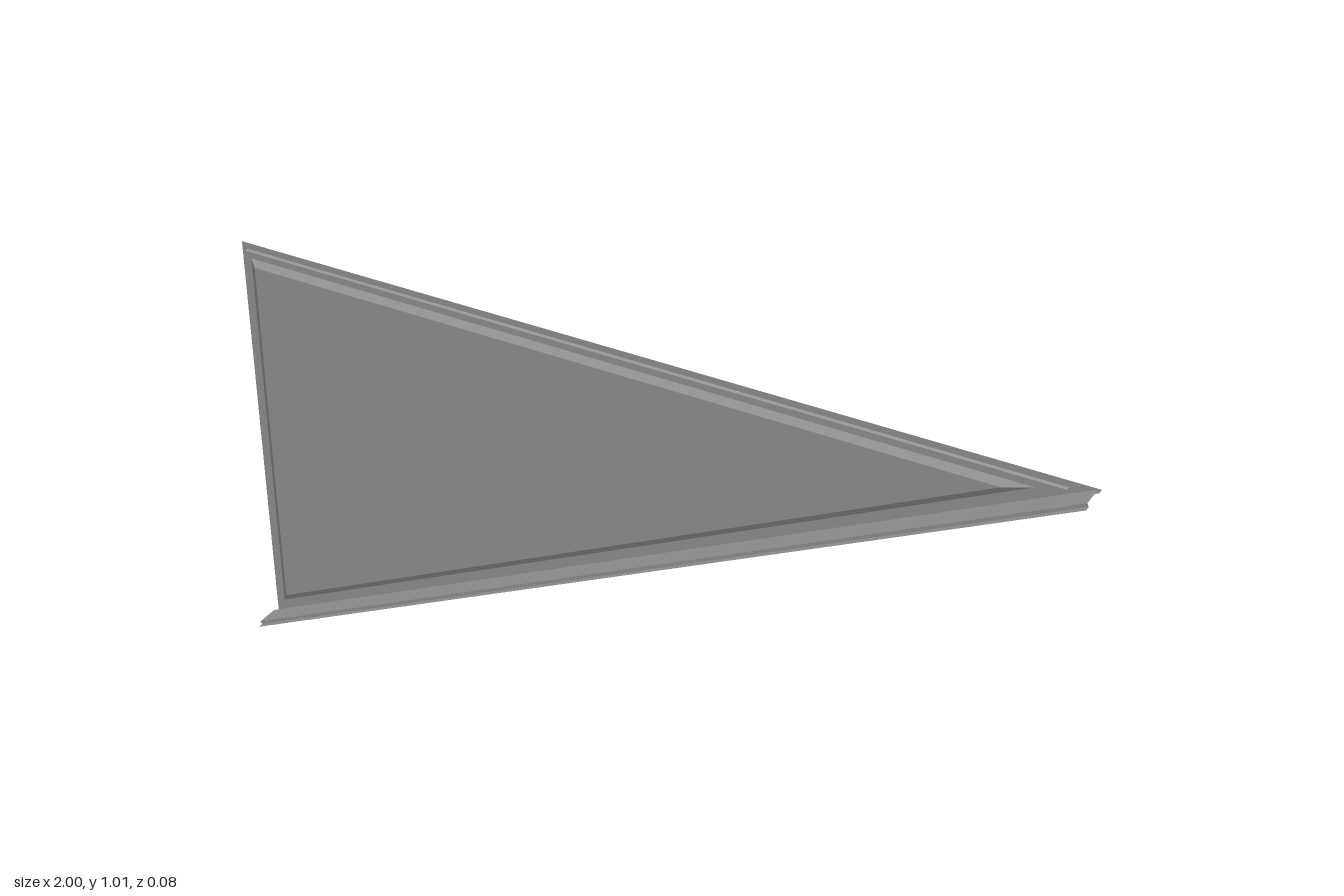
import * as THREE from 'three';

const SLOPE = Math.sqrt(5) / 2;

// Corners of the right triangle, inset evenly by d from its outer edges
function corners(d) {
  return [
    [-1 + d, 1 - d],
    [1 - 2 * d - 2 * SLOPE * d, 1 - d],
    [-1 + d, 0.5 * d + SLOPE * d],
  ];
}

// Join neighbouring rows of points with flat quads
function loft(rows) {
  const pos = [];
  for (let i = 0; i < rows.length - 1; i++) {
    const p = rows[i], q = rows[i + 1];
    for (let s = 0; s < p.length - 1; s++) {
      pos.push(...p[s], ...q[s], ...q[s + 1], ...p[s], ...q[s + 1], ...p[s + 1]);
    }
  }
  const geometry = new THREE.BufferGeometry();
  geometry.setAttribute('position', new THREE.Float32BufferAttribute(pos, 3));
  geometry.computeVertexNormals();
  return geometry;
}

export function createModel() {
  const group = new THREE.Group();
  group.name = 'triangularPanel';
  const material = new THREE.MeshStandardMaterial({
    color: 0x9b9b9b, flatShading: true, side: THREE.DoubleSide,
  });

  function add(name, geometry) {
    const mesh = new THREE.Mesh(geometry, material);
    mesh.name = name;
    group.add(mesh);
  }

  // Stepped and bevelled border round the back, as [inset, z] from the inside out
  const border = [[0.045, -0.02], [0.03, -0.03], [0.015, -0.03], [0.015, -0.04], [0, -0.04]];
  add('steppedBorder', loft(border.map(([d, z]) => {
    const [a, b, c] = corners(d);
    return [a, b, c, a].map(([x, y]) => [x, y, z]);
  })));

  // Flat pane, set into the border
  const shape = new THREE.Shape(corners(0.045).map(([x, y]) => new THREE.Vector2(x, y)));
  const pane = new THREE.ShapeGeometry(shape);
  pane.translate(0, 0, -0.02);
  add('pane', pane);

  // Sloping edge strip, with a shallow groove and ends cut square
  const groove = [[0, 0.04], [0, 0.027], [0.008, 0.027], [0.008, -0.027], [0, -0.027], [0, -0.04]];
  add('slopingEdge', loft(groove.map(([d, z]) => {
    const dx = -0.5 * d / SLOPE, dy = d / SLOPE;
    return [[-1 + dx, dy, z], [1 + dx, 1 + dy, z]];
  })));

  return group;
}
